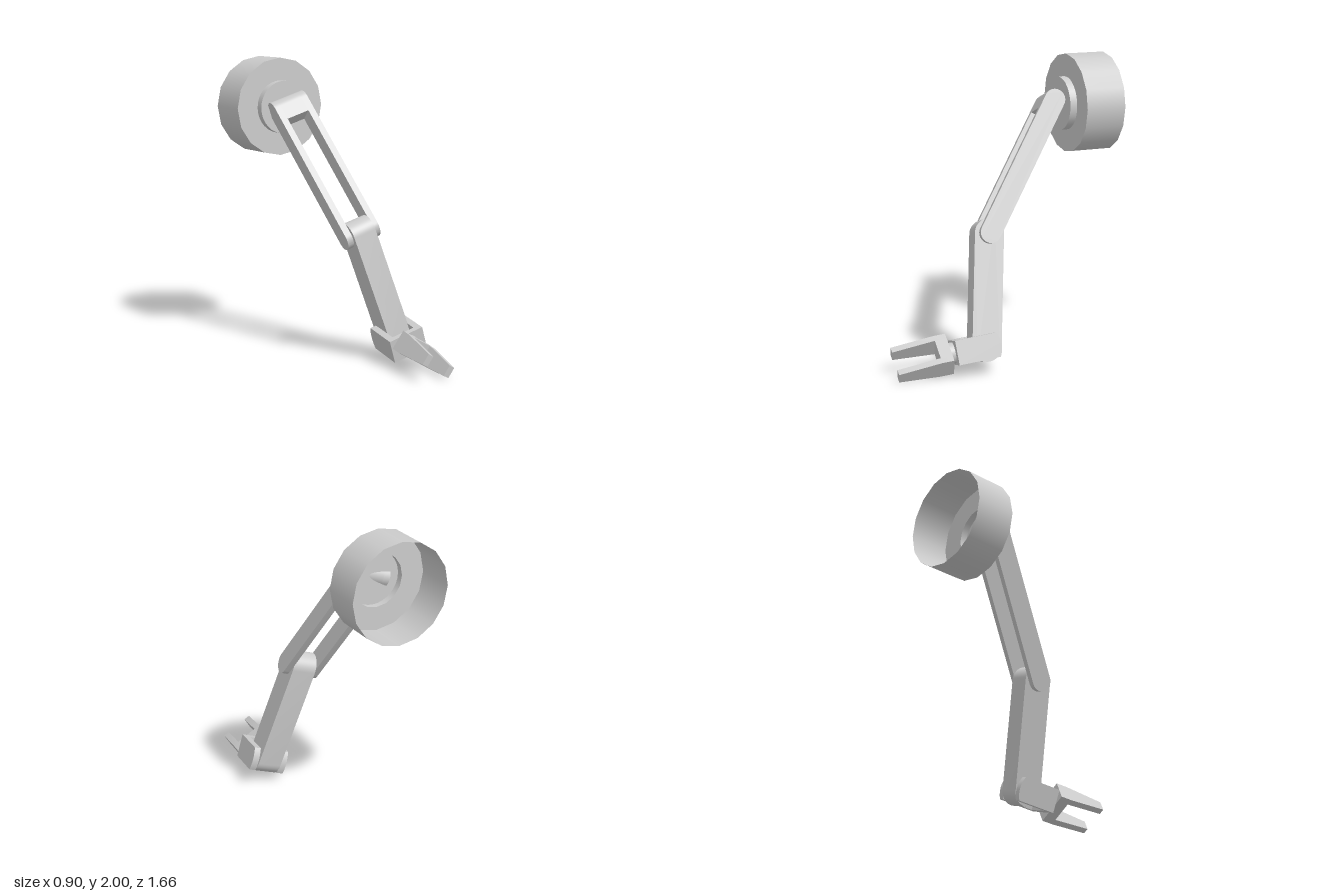
import * as THREE from 'three';
import { toCreasedNormals } from 'three/addons/utils/BufferGeometryUtils.js';

const V = (x, y, z) => new THREE.Vector3(x, y, z);
const grey = new THREE.MeshStandardMaterial({ color: 0xcccccc });
const greyOpen = new THREE.MeshStandardMaterial({ color: 0xcccccc, side: THREE.DoubleSide });

// Group at a joint: local x is the hinge axis, local -y runs along the limb
function jointFrame(name, origin, hinge, along) {
  const y = along.clone().normalize().negate();
  const x = hinge.clone().addScaledVector(y, -hinge.dot(y)).normalize();
  const group = new THREE.Group();
  group.name = name;
  group.quaternion.setFromRotationMatrix(new THREE.Matrix4().makeBasis(x, y, x.clone().cross(y)));
  group.position.copy(origin);
  return group;
}

// Side profile (shape x -> local z, shape y -> local y) extruded across local x
function slab(name, shape, width, x = 0) {
  const geo = new THREE.ExtrudeGeometry(shape, { depth: width, bevelEnabled: false, curveSegments: 14 });
  geo.translate(0, 0, -width / 2).rotateY(-Math.PI / 2);
  const mesh = new THREE.Mesh(toCreasedNormals(geo, 0.6), grey);
  mesh.name = name;
  mesh.position.x = x;
  return mesh;
}

// Bar with a round top about the origin and an optional round end
function barShape(r, length, roundEnd) {
  const s = new THREE.Shape();
  s.moveTo(r, -length);
  s.lineTo(r, 0);
  s.absarc(0, 0, r, 0, Math.PI, false);
  s.lineTo(-r, -length);
  if (roundEnd) s.absarc(0, -length, r, Math.PI, Math.PI * 2, false);
  s.closePath();
  return s;
}

// Hollow shoulder housing, open at the back
function shoulderMount() {
  const mount = new THREE.Group();
  mount.name = 'shoulderMount';
  const bands = [
    ['housingWall', 0.335, -0.825, 0.335, -0.545, 16],
    ['housingFace', 0.335, -0.545, 0.179, -0.545, 16],
    ['hubWall', 0.18, -0.545, 0.18, -0.495, 32],
    ['hubFace', 0.18, -0.495, 0, -0.495, 32],
  ];
  for (const [name, r0, z0, r1, z1, sides] of bands) {
    const profile = [new THREE.Vector2(r0, z0), new THREE.Vector2(r1, z1)];
    const mesh = new THREE.Mesh(new THREE.LatheGeometry(profile, sides).rotateX(Math.PI / 2), greyOpen);
    mesh.name = name;
    mount.add(mesh);
  }
  mount.position.set(-0.11, 1.665, 0);
  return mount;
}

export function createModel() {
  const model = new THREE.Group();
  model.name = 'roboticArm';

  // Joints
  const hinge = V(0.94, 0.31, 0.13).normalize();
  const shoulder = V(-0.11, 1.675, -0.428);
  const elbow = V(0.09, 0.862, 0.12);
  const wrist = V(0.303, 0.162, 0.228);
  const handDir = V(-0.128, -0.116, 0.985).normalize();
  const upperDir = elbow.clone().sub(shoulder);
  const foreDir = wrist.clone().sub(elbow);
  const forkWidth = 0.25, plate = 0.044;
  const plateX = (forkWidth - plate) / 2;

  model.add(shoulderMount());

  // Forked upper arm
  const upper = jointFrame('upperArm', shoulder, hinge, upperDir);
  for (const side of [-1, 1]) {
    upper.add(slab('upperArmPlate', barShape(0.07, upperDir.length(), true), plate, side * plateX));
  }
  upper.add(slab('upperArmBridge', barShape(0.07, 0.1, false), forkWidth - 2 * plate));
  model.add(upper);

  // Solid forearm
  const fore = jointFrame('forearm', elbow, hinge, foreDir);
  fore.add(slab('forearmBar', barShape(0.098, foreDir.length(), true), forkWidth - 2 * plate));
  model.add(fore);

  // Wrist fork with gently bowed rear ends
  const hand = jointFrame('wristFork', wrist, hinge, handDir);
  const cheek = new THREE.Shape();
  cheek.moveTo(-0.08, -0.207);
  cheek.lineTo(0.08, -0.207);
  cheek.lineTo(0.08, 0.07);
  cheek.quadraticCurveTo(0, 0.11, -0.08, 0.07);
  cheek.closePath();
  for (const side of [-1, 1]) hand.add(slab('wristPlate', cheek, plate, side * plateX));
  const bridge = new THREE.Mesh(new THREE.BoxGeometry(forkWidth - 2 * plate, 0.042, 0.16), grey);
  bridge.name = 'wristBridge';
  bridge.position.y = -0.186;
  hand.add(bridge);
  const rotor = new THREE.Mesh(new THREE.CylinderGeometry(0.07, 0.07, 0.032, 24), grey);
  rotor.name = 'wristRotor';
  rotor.position.y = -0.221;
  hand.add(rotor);
  model.add(hand);

  // Gripper, rolled about the hand axis
  const gripDir = hinge.clone().applyAxisAngle(handDir, THREE.MathUtils.degToRad(49));
  // keep the roll that lowers the left finger
  if (gripDir.y > 0) gripDir.copy(hinge).applyAxisAngle(handDir, -THREE.MathUtils.degToRad(49));
  const gripper = jointFrame('gripper', wrist, gripDir, handDir);
  const finger = new THREE.Shape();
  finger.moveTo(-0.068, -0.235);
  finger.lineTo(-0.068, -0.32);
  finger.lineTo(-0.038, -0.6);
  finger.lineTo(0.038, -0.6);
  finger.lineTo(0.068, -0.32);
  finger.lineTo(0.068, -0.235);
  finger.closePath();
  for (const side of [-1, 1]) gripper.add(slab('finger', finger, 0.042, side * 0.095));
  const palm = new THREE.Mesh(new THREE.BoxGeometry(0.15, 0.08, 0.136), grey);
  palm.name = 'palm';
  palm.position.y = -0.275;
  gripper.add(palm);
  model.add(gripper);

  return model;
}
